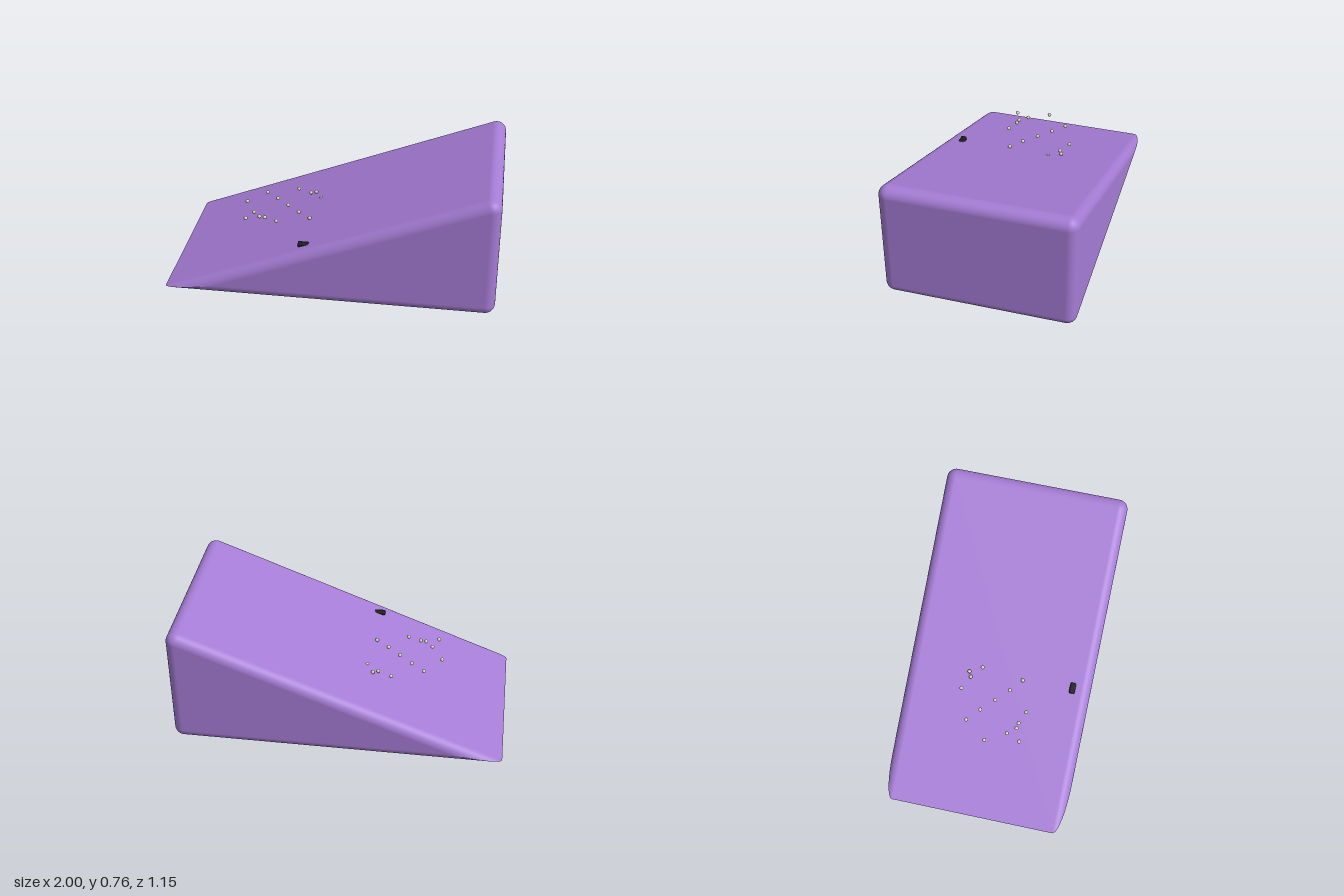
import * as THREE from 'three';
import { RoundedBoxGeometry } from 'three/addons/geometries/RoundedBoxGeometry.js';

const R = 0.06;        // edge rounding
const HALF = 0.515;    // half depth before rounding
const STEPS = 10;

// Wedge with rounded edges: an inner triangle offset outwards ring by ring, mitred at the thin tip
function wedgeGeometry() {
  const low = [0.94, 0.065], high = [0.94, 0.697], tip = [-0.681, 0.066];
  const slope = Math.atan2(high[1] - tip[1], high[0] - tip[0]);
  const reach = 1 / Math.tan(slope / 2);

  // outline columns: base point, offset direction, normal angle
  const columns = [];
  const arc = (base, from, to) => {
    for (let i = 0; i <= STEPS; i++) {
      const a = from + (to - from) * i / STEPS;
      columns.push({ base, dir: [Math.cos(a), Math.sin(a)], a });
    }
  };
  const miter = [-reach, -1];
  columns.push({ base: tip, dir: miter, a: -Math.PI / 2 });
  arc(low, -Math.PI / 2, 0);
  arc(high, 0, Math.PI / 2 + slope);
  columns.push({ base: tip, dir: miter, a: Math.PI / 2 + slope });

  // rings from the front side round to the back side
  const rings = [];
  for (const side of [1, -1]) {
    for (let i = 0; i <= STEPS; i++) {
      const t = (side > 0 ? i : STEPS - i) / STEPS * Math.PI / 2;
      rings.push({ z: side * (HALF + R * Math.cos(t)), out: Math.sin(t), nz: side * Math.cos(t) });
    }
  }

  const positions = [], normals = [], index = [];
  for (const { z, out, nz } of rings) {
    for (const { base, dir, a } of columns) {
      positions.push(base[0] + dir[0] * R * out, base[1] + dir[1] * R * out, z);
      normals.push(Math.cos(a) * out, Math.sin(a) * out, nz);
    }
  }
  const n = columns.length;
  for (let r = 0; r < rings.length - 1; r++) {
    for (let c = 0; c < n - 1; c++) {
      const p = r * n + c, q = p + n;
      index.push(p, q, p + 1, p + 1, q, q + 1);
    }
  }

  // flat triangular sides
  for (const side of [1, -1]) {
    const start = positions.length / 3;
    for (const p of [tip, low, high]) {
      positions.push(p[0], p[1], side * (HALF + R));
      normals.push(0, 0, side);
    }
    index.push(start, start + (side > 0 ? 1 : 2), start + (side > 0 ? 2 : 1));
  }

  const geometry = new THREE.BufferGeometry();
  geometry.setAttribute('position', new THREE.Float32BufferAttribute(positions, 3));
  geometry.setAttribute('normal', new THREE.Float32BufferAttribute(normals, 3));
  geometry.setIndex(index);
  return geometry;
}

export function createModel() {
  const material = (name, color) => {
    const m = new THREE.MeshStandardMaterial({ color });
    m.name = name;
    return m;
  };
  const purple = material('purple foam', 0xa67cd6);
  const black = material('black rubber', 0x1a1a1a);
  const cream = material('pale beads', 0xd8d8b4);

  const model = new THREE.Group();
  model.name = 'wedgeCushion';
  const add = (name, geometry, mat, x, y, z, parent = model) => {
    const mesh = new THREE.Mesh(geometry, mat);
    mesh.name = name;
    mesh.position.set(x, y, z);
    parent.add(mesh);
    return mesh;
  };

  add('wedgeBody', wedgeGeometry(), purple, 0, 0, 0);

  // non-slip sheet under the base
  add('basePad', new THREE.BoxGeometry(1.78, 0.008, 0.84), black, -0.04, 0.004, 0);

  // small tag set into the slope
  add('tag', new RoundedBoxGeometry(0.068, 0.026, 0.036, 3, 0.008), black, -0.15, 0.338, 0.46);

  // scattered beads, all at one height
  const beads = new THREE.Group();
  beads.name = 'beads';
  model.add(beads);
  const bead = new THREE.SphereGeometry(0.012, 16, 12);
  const spots = [
    [-0.294, -0.215], [-0.21, -0.175], [-0.178, -0.19], [-0.134, -0.115], [-0.487, -0.14],
    [-0.406, -0.07], [-0.59, -0.005], [-0.326, 0.006], [-0.246, 0.082], [-0.166, 0.147],
    [-0.52, 0.122], [-0.556, 0.206], [-0.476, 0.173], [-0.442, 0.179], [-0.363, 0.211],
  ];
  for (const [x, z] of spots) add('bead', bead, cream, x, 0.338, z, beads);

  return model;
}
